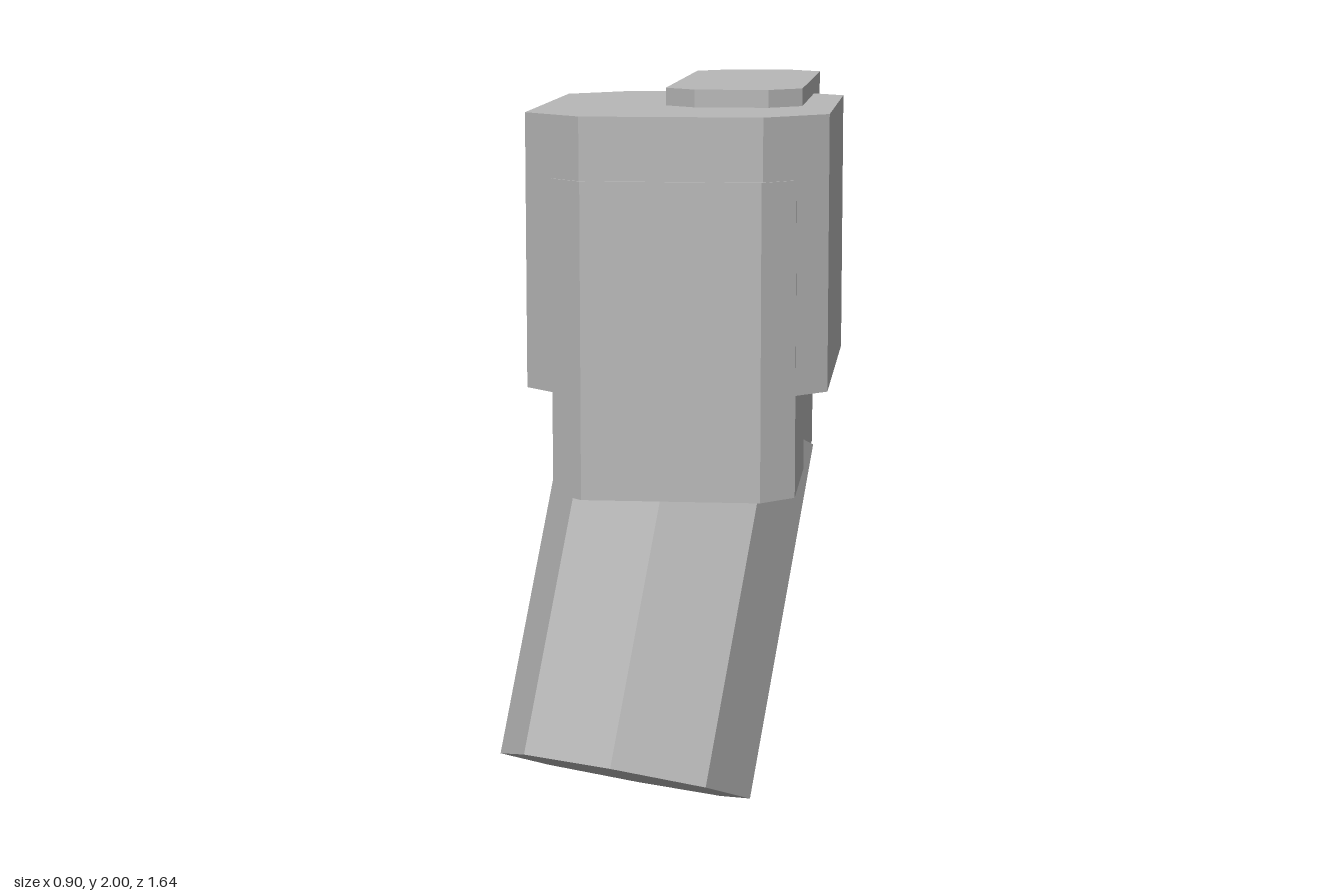
import * as THREE from 'three';

const grey = new THREE.MeshStandardMaterial({ color: 0xb8b8b8 });
grey.name = 'grey';

// Upright block whose four vertical corners are cut off by c
function chamferedBlock(name, [x0, x1], [y0, y1], [z0, z1], c) {
  const outline = new THREE.Shape([
    [x0 + c, -z1], [x1 - c, -z1], [x1, -z1 + c], [x1, -z0 - c],
    [x1 - c, -z0], [x0 + c, -z0], [x0, -z0 - c], [x0, -z1 + c],
  ].map(([x, y]) => new THREE.Vector2(x, y)));
  const geo = new THREE.ExtrudeGeometry(outline, { depth: y1 - y0, bevelEnabled: false });
  geo.rotateX(-Math.PI / 2).translate(0, y0, 0);
  const mesh = new THREE.Mesh(geo, grey);
  mesh.name = name;
  return mesh;
}

// Eight-sided grip leaning back and to the side
function makeGrip() {
  const base = new THREE.Vector3(-0.105, 0.12, 0.487);
  const up = new THREE.Vector3(0.15, 0.935, -0.328);
  const length = up.length();
  up.normalize();
  const side = new THREE.Vector3().crossVectors(up, new THREE.Vector3(0, 0.333, 0.943)).normalize();
  const front = new THREE.Vector3().crossVectors(side, up);

  const geo = new THREE.CylinderGeometry(0.353, 0.353, length, 8).translate(0, length / 2, 0);
  geo.applyMatrix4(new THREE.Matrix4().makeBasis(side, up, front).setPosition(base));
  const flat = geo.toNonIndexed();
  flat.computeVertexNormals();
  const mesh = new THREE.Mesh(flat, grey);
  mesh.name = 'grip';
  return mesh;
}

export function createModel() {
  const model = new THREE.Group();
  model.name = 'model';
  model.add(
    chamferedBlock('body', [-0.355, 0.45], [1.217, 1.952], [-0.465, 0.73], 0.163),
    chamferedBlock('lowerBody', [-0.275, 0.37], [0.945, 1.785], [-0.32, 0.74], 0.086),
    chamferedBlock('topBar', [-0.015, 0.36], [1.393, 2], [-0.82, 0.317], 0.087),
    makeGrip(),
  );
  return model;
}
